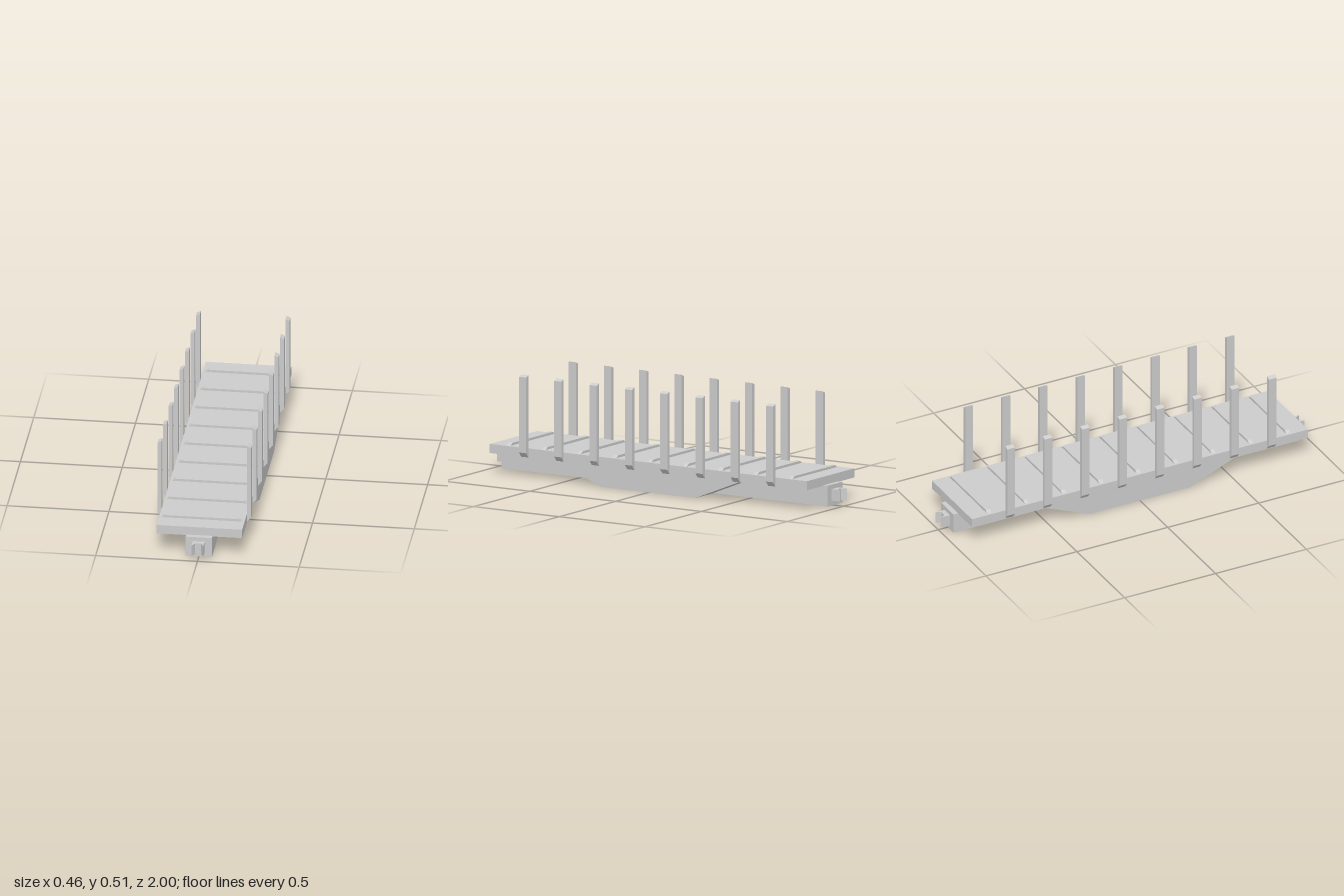
import * as THREE from 'three';

const material = new THREE.MeshStandardMaterial({ color: 0xcccccc, flatShading: true });

// Extrude an outline symmetrically about its own plane
function prism(name, points, depth) {
  const shape = new THREE.Shape(points.map(([a, b]) => new THREE.Vector2(a, b)));
  const geometry = new THREE.ExtrudeGeometry(shape, { depth, bevelEnabled: false });
  geometry.translate(0, 0, -depth / 2);
  const mesh = new THREE.Mesh(geometry, material);
  mesh.name = name;
  return mesh;
}

function box(name, w, yMin, yMax, d) {
  const mesh = new THREE.Mesh(new THREE.BoxGeometry(w, yMax - yMin, d), material);
  mesh.name = name;
  mesh.position.y = (yMin + yMax) / 2;
  return mesh;
}

export function createModel() {
  const model = new THREE.Group();
  model.name = 'flatWagon';
  const spacing = 0.2057;

  // Deck and the narrow centre beam below it
  model.add(box('deck', 0.42, 0.103, 0.148, 1.85));
  model.add(box('centreBeam', 0.13, 0.003, 0.106, 1.9));

  // Full-width belly with sloping ends
  const belly = prism('belly', [[-0.275, 0], [0.275, 0], [0.53, 0.104], [-0.53, 0.104]], 0.42);
  belly.rotation.y = Math.PI / 2;
  model.add(belly);

  // Tapered battens across the deck
  for (let i = -4; i <= 4; i++) {
    const batten = prism('batten', [[-0.2, 0.147], [0.2, 0.147], [0.18, 0.16], [-0.18, 0.16]], 0.022);
    batten.position.z = i * spacing;
    model.add(batten);
  }

  // Upright stakes along both sides
  for (const side of [1, -1]) {
    for (let i = 0; i < 8; i++) {
      const stake = prism('stake',
        [[0.21, 0.103], [0.23, 0.127], [0.23, 0.502], [0.21, 0.511]], 0.042);
      stake.position.z = (i - 3.5) * spacing;
      stake.rotation.y = side > 0 ? 0 : Math.PI;
      model.add(stake);
    }
  }

  // Notched coupler at each end
  for (const end of [1, -1]) {
    const coupler = prism('coupler', [
      [-0.029, 0.945], [0.029, 0.945], [0.029, 1], [0.015, 0.974], [-0.015, 0.974], [-0.029, 1],
    ], 0.057);
    coupler.rotation.x = end * Math.PI / 2;
    coupler.position.y = 0.0555;
    model.add(coupler);
  }
  return model;
}
